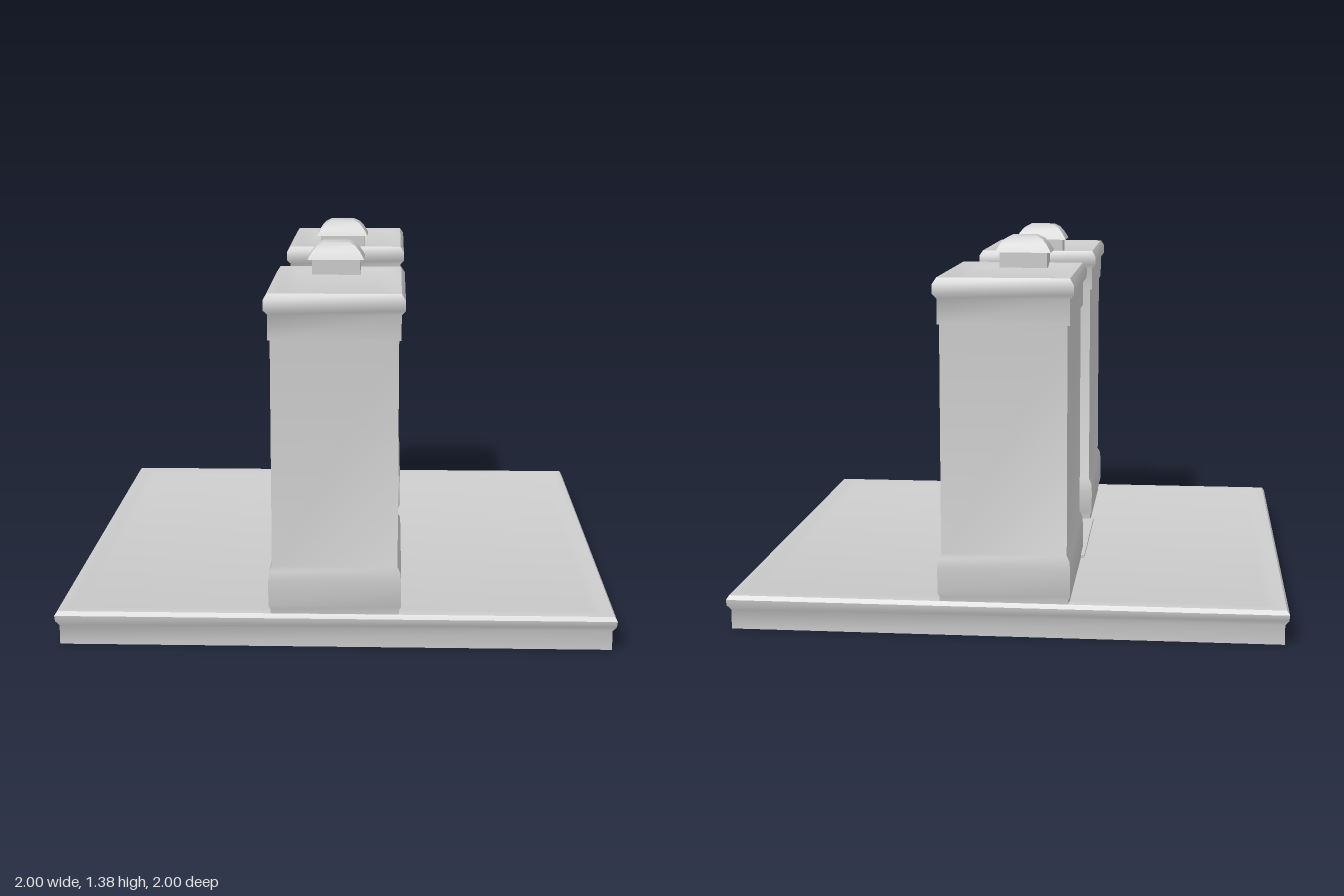
import * as THREE from 'three';
import { toCreasedNormals } from 'three/addons/utils/BufferGeometryUtils.js';

const material = new THREE.MeshStandardMaterial({ color: 0xcccccc });

// Skins a stack of rectangular rings, each [half width x, half depth z, y]
function rectLoft(rings) {
  const corners = [[1, 1], [1, -1], [-1, -1], [-1, 1]];
  const points = rings.map(([hx, hz, y]) =>
    corners.map(([sx, sz]) => new THREE.Vector3(sx * hx, y, sz * hz)));
  const verts = [];
  const tri = (a, b, c) => {
    if (a.equals(b) || b.equals(c) || a.equals(c)) return;
    verts.push(...a.toArray(), ...b.toArray(), ...c.toArray());
  };
  for (let r = 0; r < points.length - 1; r++) {
    for (let i = 0; i < 4; i++) {
      const j = (i + 1) % 4;
      const [lo, hi] = [points[r], points[r + 1]];
      tri(lo[i], lo[j], hi[j]);
      tri(lo[i], hi[j], hi[i]);
    }
  }
  const geometry = new THREE.BufferGeometry();
  geometry.setAttribute('position', new THREE.Float32BufferAttribute(verts, 3));
  geometry.computeVertexNormals();
  return toCreasedNormals(geometry, 0.6);
}

function add(parent, name, geometry, x = 0, y = 0, z = 0) {
  const mesh = new THREE.Mesh(geometry, material);
  mesh.name = name;
  mesh.position.set(x, y, z);
  parent.add(mesh);
  return mesh;
}

// Plinth, hollow underneath, with a rounded lip and a slightly sunk top
function buildBase(group) {
  add(group, 'base', rectLoft([
    [0, 0, 0.105], [0.965, 0.965, 0.105], [0.965, 0.965, 0], [0.985, 0.985, 0],
    [0.985, 0.985, 0.07], [0.998, 0.998, 0.09], [1, 1, 0.11], [0.99, 0.99, 0.125],
    [0.95, 0.95, 0.125], [0.92, 0.92, 0.113], [0, 0, 0.113],
  ]));
  // Thin rectangular collar hanging inside the hollow
  add(group, 'undersideCollar', rectLoft([
    [0.19, 0.46, 0.105], [0.19, 0.46, 0.04], [0.205, 0.475, 0.04], [0.205, 0.475, 0.105],
  ]));
  add(group, 'path', new THREE.BoxGeometry(0.44, 0.025, 0.62), -0.022, 0.112, 0);
}

// Tower block with plinth band, cornice and sunk roof panel
function buildTower(side) {
  const tower = new THREE.Group();
  tower.name = side > 0 ? 'frontTower' : 'backTower';
  add(tower, 'towerBody', rectLoft([
    [0, 0, 0.1], [0.228, 0.345, 0.1], [0.228, 0.345, 0.14], [0.235, 0.35, 0.155],
    [0.235, 0.35, 0.245], [0.232, 0.347, 0.28], [0.222, 0.34, 0.3],
    [0.222, 0.34, 1.11], [0.23, 0.344, 1.11], [0.23, 0.344, 1.2],
    [0.244, 0.354, 1.215], [0.244, 0.354, 1.25], [0.23, 0.342, 1.272],
    [0.185, 0.305, 1.27], [0.155, 0.285, 1.26], [0, 0, 1.26],
  ]));
  tower.position.z = side * 0.644;
  return tower;
}

// Little roof turret: neck, overhanging eaves and domed cap
function buildCupola(z) {
  const cupola = new THREE.Group();
  cupola.name = z > 0 ? 'frontCupola' : 'backCupola';
  add(cupola, 'neck', new THREE.BoxGeometry(0.18, 0.08, 0.12), 0, 1.285, 0);
  add(cupola, 'cap', rectLoft([
    [0, 0, 1.318], [0.105, 0.08, 1.318], [0.102, 0.077, 1.325],
    [0.088, 0.066, 1.348], [0.072, 0.054, 1.367], [0.048, 0.038, 1.38], [0, 0, 1.381],
  ]));
  cupola.position.set(-0.013, 0, z);
  return cupola;
}

// Wall between the towers, pierced by a pointed arch
function buildGateWall(group) {
  const shape = new THREE.Shape();
  shape.moveTo(-0.32, 0.1);
  shape.lineTo(-0.185, 0.1);
  shape.lineTo(-0.185, 0.76);
  shape.bezierCurveTo(-0.175, 0.85, -0.1, 0.875, 0.01, 0.92);
  shape.bezierCurveTo(0.12, 0.875, 0.195, 0.85, 0.205, 0.76);
  shape.lineTo(0.205, 0.1);
  shape.lineTo(0.32, 0.1);
  shape.lineTo(0.32, 1.12);
  shape.lineTo(-0.32, 1.12);
  const geometry = new THREE.ExtrudeGeometry(shape, {
    depth: 0.18, bevelEnabled: false, curveSegments: 10,
  });
  geometry.rotateY(-Math.PI / 2);
  add(group, 'archWall', toCreasedNormals(geometry, 0.5), 0.072, 0, 0);
  // Low coping strips along the top of the wall
  for (const [x, width] of [[-0.065, 0.085], [0.035, 0.05]]) {
    add(group, 'coping', new THREE.BoxGeometry(width, 0.02, 0.62), x, 1.12, 0);
  }
}

export function createModel() {
  const group = new THREE.Group();
  group.name = 'gatehouse';
  buildBase(group);
  buildGateWall(group);
  for (const side of [1, -1]) group.add(buildTower(side));
  for (const z of [0.385, -0.362]) group.add(buildCupola(z));
  return group;
}
